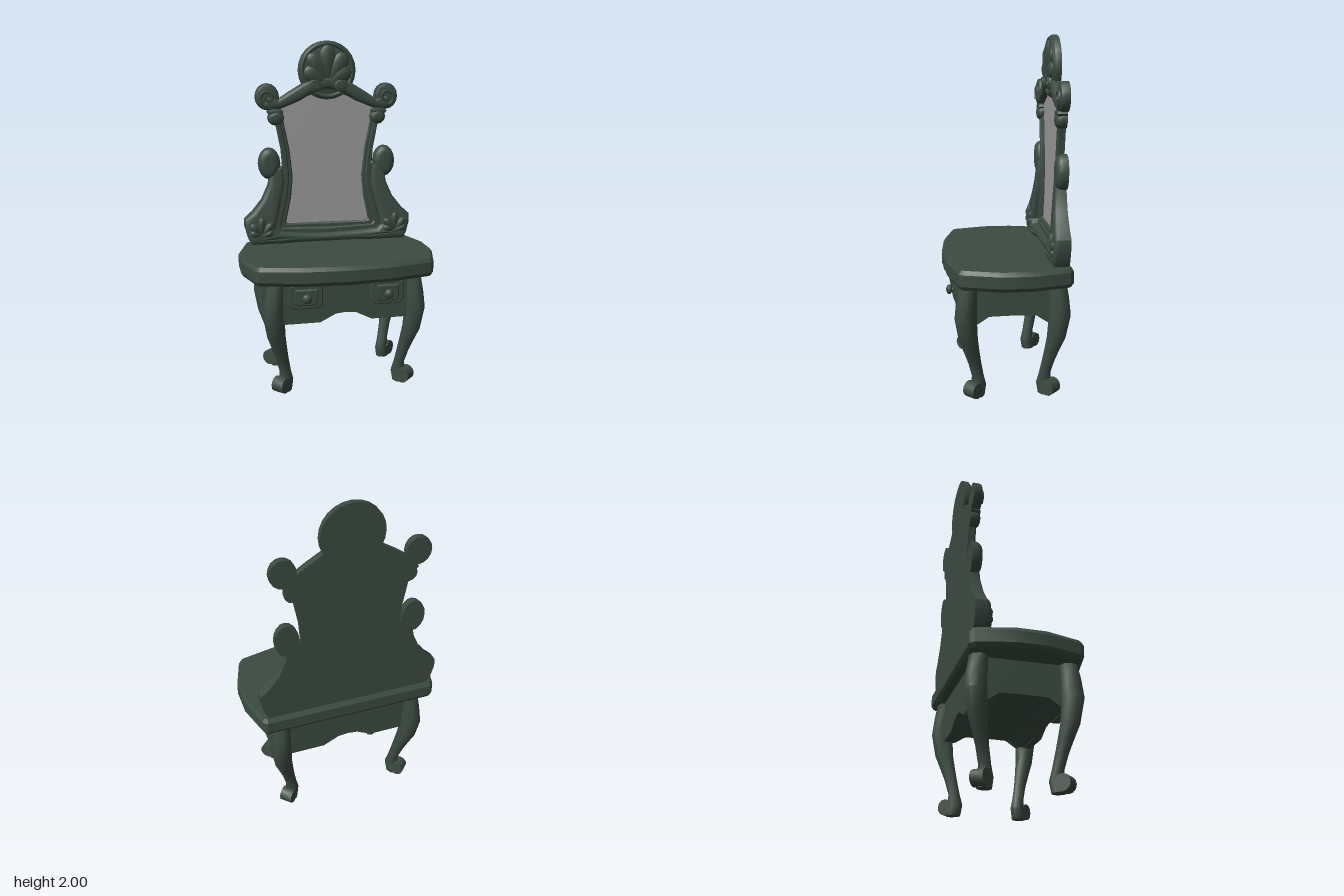
import * as THREE from 'three';
import { toCreasedNormals } from 'three/addons/utils/BufferGeometryUtils.js';

const wood = new THREE.MeshStandardMaterial({ color: 0x3c4b42 });
wood.name = 'dark green wood';
const glass = new THREE.MeshStandardMaterial({ color: 0x9d9d9d });
glass.name = 'mirror grey';

const BACK = -0.32;
// full outline from its right half
const sym = (half) => [...half, ...half.filter((p) => p[0] !== 0).reverse().map(([x, y]) => [-x, y])];
const flip = (pts, s) => pts.map(([x, y]) => [s * x, y]);
const ellipse = (cx, cy, rx, ry, n = 16) =>
  Array.from({ length: n }, (_, i) => {
    const a = (i / n) * Math.PI * 2;
    return [cx + rx * Math.cos(a), cy + ry * Math.sin(a)];
  });
const shapeOf = (pts) => new THREE.Shape(pts.map(([x, y]) => new THREE.Vector2(x, y)));

// slab with a flat back at z0 and a rounded front edge
function slab(pts, z0, z1, bevel, { segments = 2, shapeZ } = {}) {
  const g = new THREE.ExtrudeGeometry(shapeOf(pts), {
    depth: z1 - z0 - bevel, bevelEnabled: bevel > 0, bevelSize: bevel,
    bevelThickness: bevel, bevelOffset: -bevel, bevelSegments: segments, steps: 1,
  });
  const p = g.attributes.position;
  for (let i = 0; i < p.count; i++) {
    const h = Math.max(0, p.getZ(i));
    p.setZ(i, z0 + (shapeZ ? h * shapeZ(p.getX(i), p.getY(i)) : h));
  }
  return toCreasedNormals(g, 0.6);
}

// moulding swept through closed outlines, from the outside to the inside
function moulding(loops) {
  const pos = [];
  for (let k = 0; k < loops.length - 1; k++) {
    const [a, za] = loops[k], [b, zb] = loops[k + 1], n = a.length;
    for (let i = 0; i < n; i++) {
      const j = (i + 1) % n;
      const a0 = [...a[i], za], a1 = [...a[j], za], b0 = [...b[i], zb], b1 = [...b[j], zb];
      pos.push(...a0, ...a1, ...b1, ...a0, ...b1, ...b0);
    }
  }
  const g = new THREE.BufferGeometry();
  g.setAttribute('position', new THREE.Float32BufferAttribute(pos, 3));
  return toCreasedNormals(g, 0.5);
}

function add(parent, name, geometry, material = wood) {
  const m = new THREE.Mesh(geometry, material);
  m.name = name;
  parent.add(m);
  return m;
}

// fan of teardrop petals
function shell(parent, name, x, y, z, petals, width, depth) {
  const fan = new THREE.Group();
  fan.name = name;
  for (const [angle, length] of petals) {
    const g = new THREE.SphereGeometry(1, 12, 8);
    const p = g.attributes.position;
    for (let i = 0; i < p.count; i++) {
      const t = (p.getY(i) + 1) / 2;
      const k = 0.35 + 0.75 * t;
      p.setXYZ(i, p.getX(i) * width * k, t * length, p.getZ(i) * depth * k);
    }
    g.computeVertexNormals();
    add(fan, 'petal', g).rotation.z = -angle;
  }
  fan.position.set(x, y, z);
  parent.add(fan);
}

// spiral bead on the face of a scroll
function volute(parent, x, y, z, r, s, start) {
  const pts = Array.from({ length: 13 }, (_, i) => {
    const a = start + (i / 12) * Math.PI * 2.2, k = r * (1 - (i / 12) * 0.75);
    return new THREE.Vector3(x + s * k * Math.cos(a), y + k * Math.sin(a), z);
  });
  add(parent, 'scrollSpiral', new THREE.TubeGeometry(new THREE.CatmullRomCurve3(pts), 30, r * 0.22, 6));
}

function buildLeg(sx, sz) {
  const leg = new THREE.Group();
  leg.name = (sz > 0 ? 'front' : 'back') + (sx > 0 ? 'Left' : 'Right') + 'Leg';
  // height, outward offset, radius outward, radius sideways
  const rows = [
    [0.68, 0.058, 0.052, 0.05], [0.58, 0.073, 0.058, 0.055], [0.48, 0.081, 0.064, 0.058],
    [0.35, 0.06, 0.057, 0.048], [0.27, 0.032, 0.046, 0.04], [0.2, 0.008, 0.038, 0.034],
    [0.12, -0.016, 0.033, 0.034], [0.06, -0.026, 0.042, 0.04], [0.0, -0.012, 0.044, 0.038],
  ];
  const n = rows.length - 1;
  const g = new THREE.CylinderGeometry(1, 1, 1, 8, n);
  const p = g.attributes.position;
  for (let i = 0; i < p.count; i++) {
    const [y, s, rs, rt] = rows[Math.round((0.5 - p.getY(i)) * n)];
    p.setXYZ(i, s + p.getX(i) * rs, y, p.getZ(i) * rt);
  }
  add(leg, 'cabriole', toCreasedNormals(g, 0.9));
  const foot = add(leg, 'footScroll', toCreasedNormals(new THREE.CylinderGeometry(0.045, 0.045, 0.075, 12), 0.7));
  foot.rotation.x = Math.PI / 2;
  foot.position.set(0.022, 0.046, 0);
  leg.position.set(sx * 0.355, 0, -0.025 + sz * 0.202);
  leg.rotation.y = Math.atan2(-sz, sx);
  return leg;
}

// height along a profile of [distance from centre, height] points
function heightAt(profile, d) {
  const i = profile.findIndex((q) => q[0] >= d - 1e-6);
  if (i <= 0) return profile[0][1];
  const [a, ya] = profile[i - 1], [b, yb] = profile[i];
  return ya + ((d - a) / (b - a)) * (yb - ya);
}

function buildTable() {
  const table = new THREE.Group();
  table.name = 'table';
  // bowed top, bevelled above and below
  const outline = sym([[0, -0.348], [0.26, -0.329], [0.495, -0.273], [0.515, -0.25],
    [0.574, -0.05], [0.574, 0.12], [0.52, 0.32], [0.497, 0.342], [0, 0.342]]);
  const top = new THREE.ExtrudeGeometry(shapeOf(outline), {
    depth: 0.064, bevelSize: 0.014, bevelThickness: 0.022, bevelOffset: -0.014, bevelSegments: 1,
  });
  top.rotateX(-Math.PI / 2).translate(0, 0.689, 0);
  add(table, 'tableTop', toCreasedNormals(top, 0.4));

  // scalloped aprons, closed underneath by a surface following both scallops
  const long = [[0, 0.482], [0.06, 0.475], [0.1, 0.455], [0.15, 0.43], [0.4, 0.43]];
  const short = [[0, 0.483], [0.13, 0.48], [0.16, 0.46], [0.19, 0.44], [0.25, 0.43]];
  const longApron = sym([...long, [0.4, 0.68], [0, 0.68]]);
  const shortApron = sym([...short, [0.25, 0.68], [0, 0.68]]);
  add(table, 'frontApron', slab(longApron, 0.205, 0.25, 0));
  add(table, 'backApron', slab(longApron, -0.285, -0.26, 0));
  const under = new THREE.PlaneGeometry(0.79, 0.53, 40, 26).rotateX(Math.PI / 2);
  const u = under.attributes.position;
  for (let i = 0; i < u.count; i++) {
    u.setY(i, Math.max(heightAt(long, Math.abs(u.getX(i))), heightAt(short, Math.min(0.25, Math.abs(u.getZ(i))))));
  }
  under.translate(0, 0, -0.0175);
  add(table, 'apronUnderside', toCreasedNormals(under, 0.5));

  for (const s of [1, -1]) {
    const side = add(table, 'sideApron', slab(shortApron, -0.0125, 0.0125, 0));
    side.rotation.y = Math.PI / 2;
    side.position.set(s * 0.385, 0, -0.025);

    // drawer with raised panel and knob
    const drawer = new THREE.Group();
    drawer.name = s > 0 ? 'leftDrawer' : 'rightDrawer';
    const cut = (w, h, c) => sym([[0, -h], [w - c, -h], [w, -h + c], [w, h], [0, h]]);
    add(drawer, 'drawerFront', slab(cut(0.095, 0.07, 0.025), 0.25, 0.283, 0.006, { segments: 1 }));
    add(drawer, 'drawerPanel', slab(cut(0.064, 0.047, 0.018), 0.278, 0.293, 0.006, { segments: 1 }));
    const stem = add(drawer, 'knobStem', new THREE.CylinderGeometry(0.012, 0.012, 0.03, 8));
    stem.rotation.x = Math.PI / 2;
    stem.position.z = 0.302;
    const knob = add(drawer, 'knob', new THREE.SphereGeometry(0.028, 12, 8));
    knob.scale.z = 0.65;
    knob.position.z = 0.315;
    drawer.position.set(s * 0.235, 0.594, 0);
    table.add(drawer);
    for (const sz of [1, -1]) table.add(buildLeg(s, sz));
  }
  return table;
}

function buildMirror() {
  const mirror = new THREE.Group();
  mirror.name = 'mirrorBack';
  const outer = [[0, 0.81], [0.335, 0.83], [0.345, 0.86], [0.295, 1.05], [0.275, 1.18],
    [0.287, 1.35], [0.325, 1.55], [0.33, 1.61], [0.2, 1.69], [0, 1.75]];
  const inner = [[0, 0.89], [0.25, 0.89], [0.262, 0.9], [0.23, 1.05], [0.217, 1.18],
    [0.235, 1.35], [0.275, 1.55], [0.285, 1.6], [0.17, 1.655], [0, 1.715]];
  const between = (t) => sym(outer.map(([x, y], i) => [x + (inner[i][0] - x) * t, y + (inner[i][1] - y) * t]));
  add(mirror, 'backPanel', slab(sym(outer), BACK, -0.306, 0));
  add(mirror, 'mirrorGlass', slab(sym(inner), -0.306, -0.298, 0), glass);
  add(mirror, 'mirrorFrame', moulding([[between(0), BACK], [between(0), -0.284], [between(0.12), -0.275],
    [between(0.5), -0.275], [between(0.62), -0.284], [between(0.88), -0.284], [between(1), -0.291], [between(1), -0.306]]));

  // base rail and sweeping wings, thinner towards the top and the middle
  const wings = sym([[0, 0.775], [0.2, 0.775], [0.27, 0.775], [0.48, 0.775], [0.5, 0.81], [0.52, 0.88],
    [0.52, 0.93], [0.47, 0.975], [0.41, 1.05], [0.37, 1.14], [0.355, 1.24], [0.283, 1.25], [0.272, 1.15],
    [0.296, 1.03], [0.335, 0.87], [0.31, 0.845], [0.2, 0.834], [0, 0.825]]);
  const thin = THREE.MathUtils.smoothstep;
  add(mirror, 'baseWings', slab(wings, BACK, -0.222, 0.026, {
    segments: 3, shapeZ: (x, y) => (1 - 0.4 * Math.min(1, Math.max(0, (y - 0.8) / 0.4))) * (0.78 + 0.22 * thin(Math.abs(x), 0.2, 0.27)),
  }));

  // arched crest rail
  const rail = sym([[0, 1.715], [0.08, 1.7], [0.17, 1.645], [0.27, 1.605], [0.35, 1.585], [0.4, 1.61],
    [0.37, 1.68], [0.3, 1.655], [0.24, 1.695], [0.14, 1.755], [0, 1.79]]);
  add(mirror, 'crestRail', slab(rail, BACK, -0.262, 0.022, { segments: 3 }));

  for (const s of [1, -1]) {
    add(mirror, 'wingScroll', slab(flip(ellipse(0.36, 1.268, 0.068, 0.097), s), BACK, -0.255, 0.04, { segments: 4 }));
    add(mirror, 'frameKnot', slab(flip(ellipse(0.315, 1.545, 0.05, 0.048, 12), s), BACK, -0.258, 0.03, { segments: 3 }));
    add(mirror, 'frameKnotTop', slab(flip(ellipse(0.32, 1.58, 0.05, 0.022, 10), s), BACK, -0.262, 0.012));
    add(mirror, 'crestEar', slab(flip(ellipse(0.367, 1.67, 0.072, 0.08), s), BACK, -0.268, 0.018));
    volute(mirror, s * 0.365, 1.665, -0.268, 0.05, s, -1.2);
    add(mirror, 'medallionScroll', slab(flip(ellipse(0.08, 1.735, 0.045, 0.04, 12), s), BACK, -0.255, 0.014));
    volute(mirror, s * 0.08, 1.735, -0.255, 0.028, s, 0.5);
    shell(mirror, 'wingShell', s * 0.42, 0.83, -0.232,
      [[0, 0.115], [0.7, 0.1], [-0.7, 0.1], [1.25, 0.075], [-1.25, 0.075]], 0.028, 0.022);
  }

  // round medallion with rim and shell
  add(mirror, 'medallion', slab(ellipse(0, 1.825, 0.176, 0.175, 24), BACK, -0.282, 0.008));
  const rim = add(mirror, 'medallionRim', new THREE.TorusGeometry(0.155, 0.013, 8, 28));
  rim.position.set(0, 1.825, -0.283);
  shell(mirror, 'crestShell', 0, 1.745, -0.274,
    [[0, 0.23], [0.55, 0.21], [-0.55, 0.21], [1.0, 0.165], [-1.0, 0.165]], 0.062, 0.028);
  return mirror;
}

export function createModel() {
  const model = new THREE.Group();
  model.name = 'dressingTable';
  model.add(buildTable(), buildMirror());
  return model;
}
